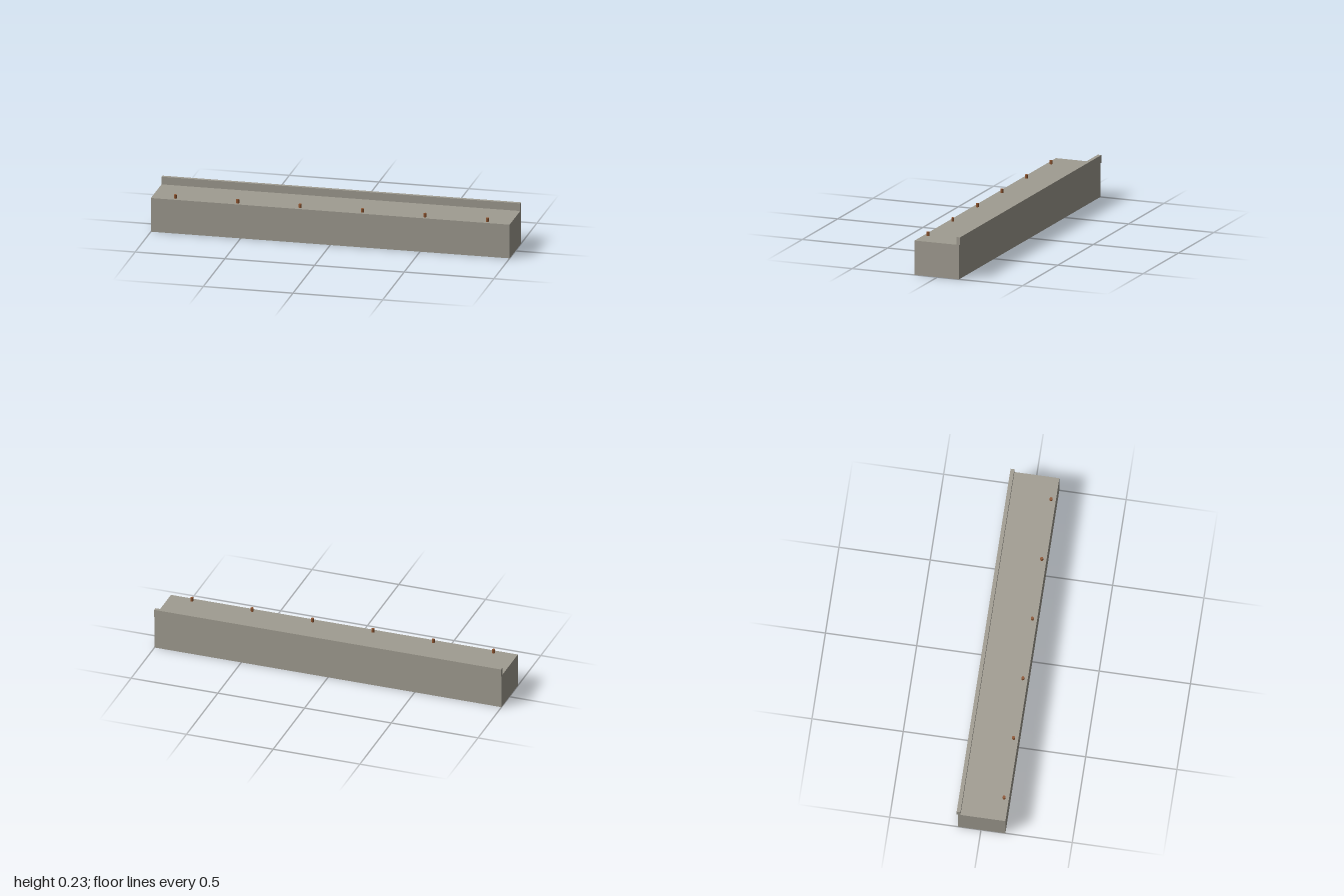
import * as THREE from 'three';

const concrete = new THREE.MeshStandardMaterial({ color: 0xa09c91, side: THREE.DoubleSide });
concrete.name = 'concrete';
const rust = new THREE.MeshStandardMaterial({ color: 0x8f5530, flatShading: true });
rust.name = 'rustyBrown';

const LENGTH = 2, TOP = 0.192, FRONT = 0.134, BACK = -0.127;

export function createModel() {
  const model = new THREE.Group();
  model.name = 'ledge';

  const add = (name, geometry, material, x, y, z) => {
    const mesh = new THREE.Mesh(geometry, material);
    mesh.name = name;
    mesh.position.set(x, y, z);
    model.add(mesh);
  };

  // Hollow main block: a box shell whose underside is left open
  const shell = new THREE.BoxGeometry(LENGTH, TOP, FRONT - BACK);
  const index = Array.from(shell.index.array);
  index.splice(18, 6); // fourth side of the box is the bottom
  shell.setIndex(index);
  shell.clearGroups();
  add('block', shell, concrete, 0, TOP / 2, (FRONT + BACK) / 2);

  // Raised kerb overhanging the back edge a little
  add('backKerb', new THREE.BoxGeometry(LENGTH, 0.043, 0.021), concrete, 0, TOP + 0.0215, -0.1228);

  // Row of short pegs along the front edge
  const peg = new THREE.CylinderGeometry(0.0085, 0.0085, 0.021, 8);
  for (let i = 0; i < 6; i++) {
    add('peg' + (i + 1), peg, rust, (i - 2.5) * 0.348, TOP + 0.0105, 0.108);
  }
  return model;
}
